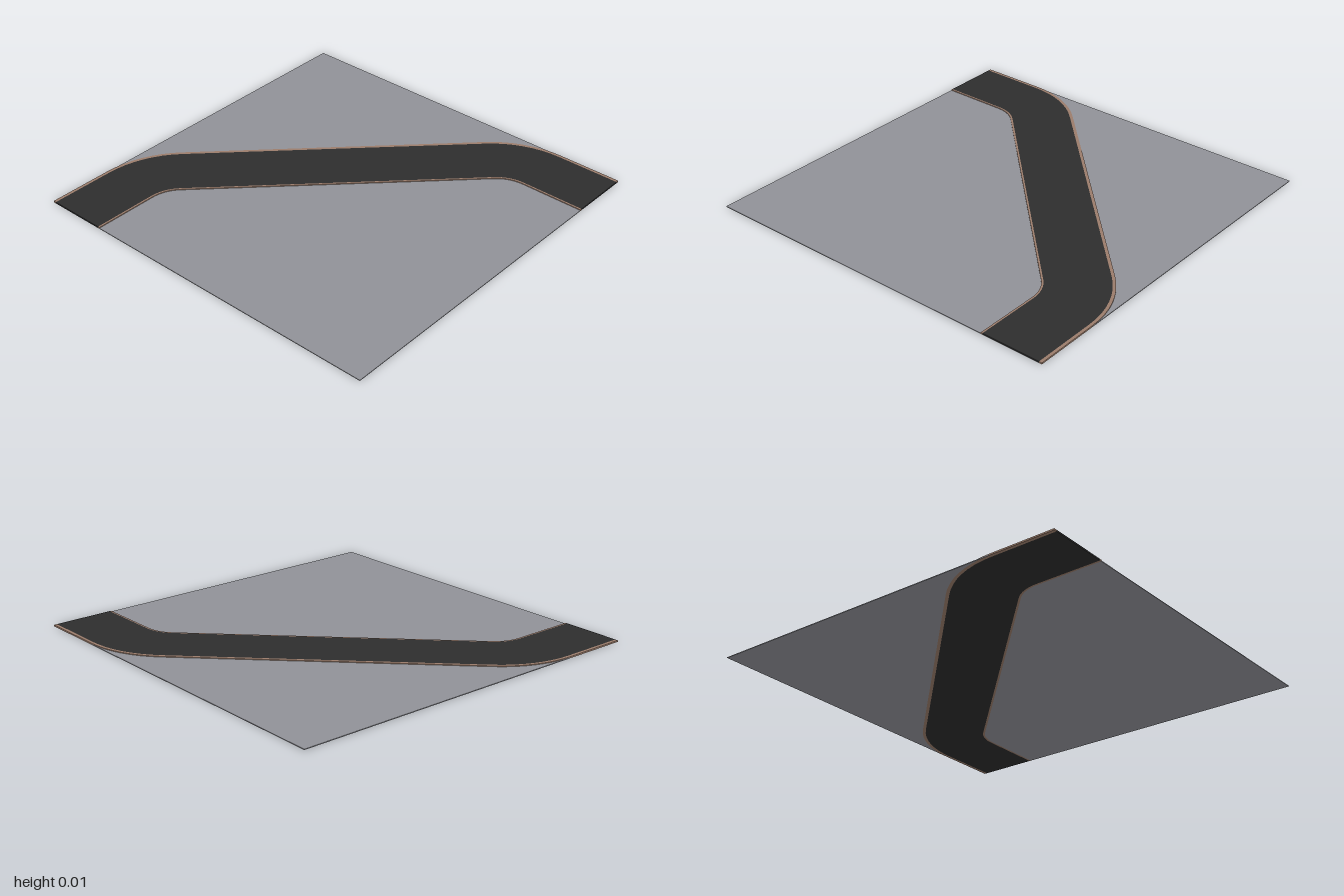
import * as THREE from 'three';

const asphalt = new THREE.MeshStandardMaterial({ name: 'asphalt', color: 0x2d2d2d });
const pavement = new THREE.MeshStandardMaterial({ name: 'pavement', color: 0x909197 });
const kerbBrown = new THREE.MeshStandardMaterial({ name: 'kerbBrown', color: 0x9a7c6b });

// Lane line at radius r from the bend centre, as [x, z] from the front edge to the +x edge
function laneLine(r) {
  const cx = -0.47, cz = 0.65, steps = 8;
  const half = [[cx - r, 1]];
  for (let i = 0; i <= steps; i++) {
    const a = (i / steps) * Math.PI / 4;
    half.push([cx - r * Math.cos(a), cz - r * Math.sin(a)]);
  }
  // The second bend mirrors the first across the diagonal x = z
  return [...half, ...half.map(([x, z]) => [z, x]).reverse()];
}

// Flat slab standing on y = 0 from an outline of [x, z] points
function slab(name, outline, height, material) {
  const shape = new THREE.Shape(outline.map(([x, z]) => new THREE.Vector2(x, -z)));
  const geometry = new THREE.ExtrudeGeometry(shape, { depth: height, bevelEnabled: false });
  geometry.rotateX(-Math.PI / 2);
  const mesh = new THREE.Mesh(geometry, material);
  mesh.name = name;
  return mesh;
}

const band = (r1, r2) => [...laneLine(r1), ...laneLine(r2).reverse()];

export function createModel() {
  const group = new THREE.Group();
  group.name = 'roadTile';
  const innerKerb = 0.19, innerRoad = 0.2, outerRoad = 0.514, outerKerb = 0.53;

  // Road and its two kerbs
  group.add(slab('road', band(innerRoad, outerRoad), 0.008, asphalt));
  group.add(slab('innerKerb', band(innerKerb, innerRoad), 0.008, kerbBrown));
  group.add(slab('outerKerb', band(outerRoad, outerKerb), 0.008, kerbBrown));

  // Ground on both sides of the road
  group.add(slab('innerGround', [...laneLine(innerKerb), [1, 1]], 0.004, pavement));
  group.add(slab('outerGround', [...laneLine(outerKerb).slice(1, -1), [-1, -1]], 0.004, pavement));
  return group;
}
